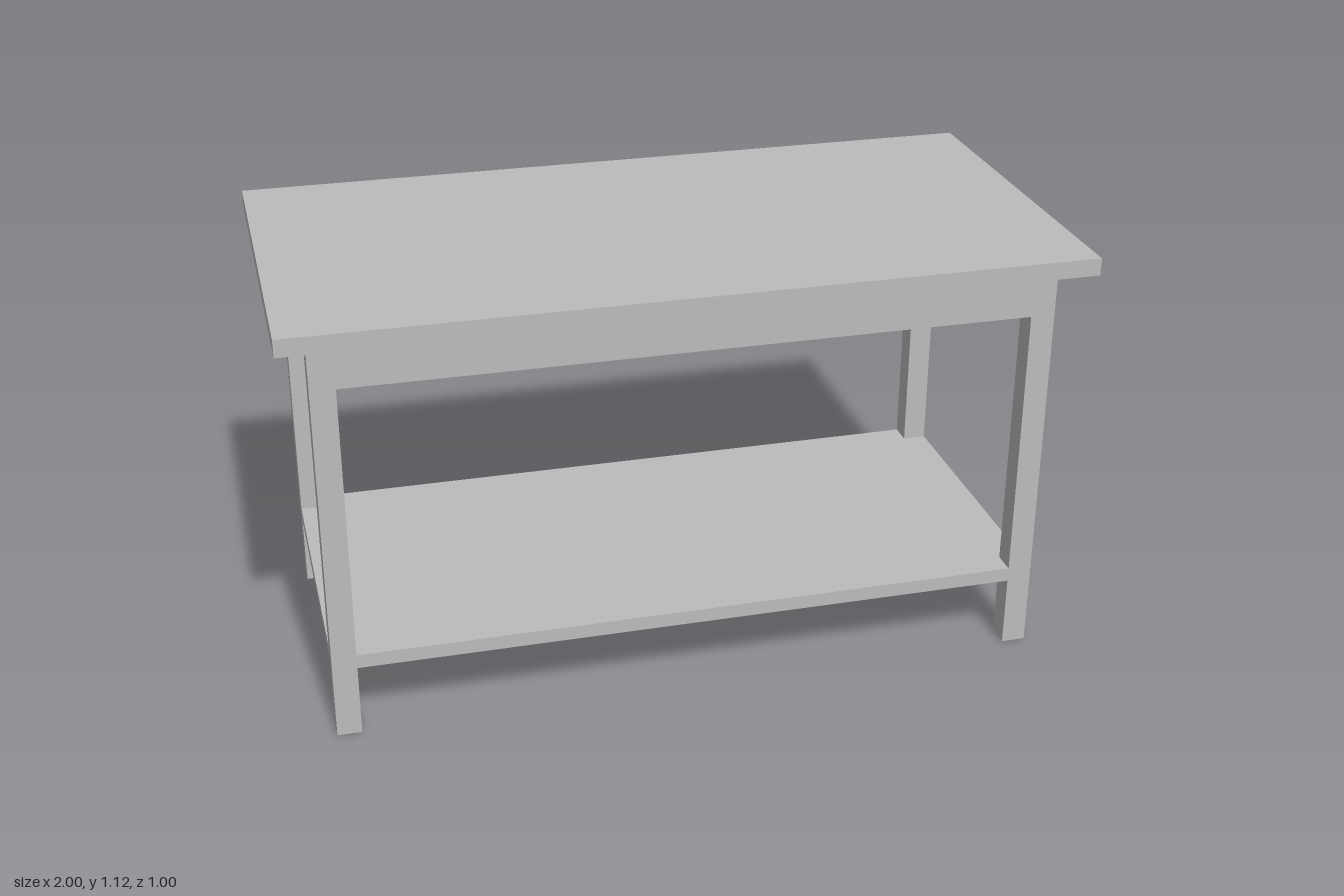
import * as THREE from 'three';

export function createModel() {
  const model = new THREE.Group();
  model.name = 'workTable';
  const grey = new THREE.MeshStandardMaterial({ color: 0xbcbcbc });
  grey.name = 'plain grey';

  // Box given by its size, centre x/z and bottom height
  const addBox = (name, w, h, d, x, bottom, z) => {
    const mesh = new THREE.Mesh(new THREE.BoxGeometry(w, h, d), grey);
    mesh.name = name;
    mesh.position.set(x, bottom + h / 2, z);
    model.add(mesh);
  };

  const legSize = 0.0625, outerX = 0.925, outerZ = 0.425;
  const topBottom = 1.08, topThickness = 0.045;
  const apronHeight = 0.127, apronThickness = 0.025;
  const innerWidth = 2 * (outerX - legSize);

  addBox('tableTop', 2, topThickness, 1, 0, topBottom, 0);

  // Lower shelf, flush with the outside of the legs
  addBox('lowerShelf', 2 * outerX, 0.037, 2 * outerZ, 0, 0.19, 0);

  for (const [end, sz] of [['front', 1], ['back', -1]]) {
    // Long rail under the top, flush with the outer leg faces
    addBox(end + 'Apron', innerWidth, apronHeight, apronThickness,
      0, topBottom - apronHeight, sz * (outerZ - apronThickness / 2));

    for (const [side, sx] of [['Left', 1], ['Right', -1]]) {
      addBox(end + side + 'Leg', legSize, topBottom, legSize,
        sx * (outerX - legSize / 2), 0, sz * (outerZ - legSize / 2));
    }
  }
  return model;
}
